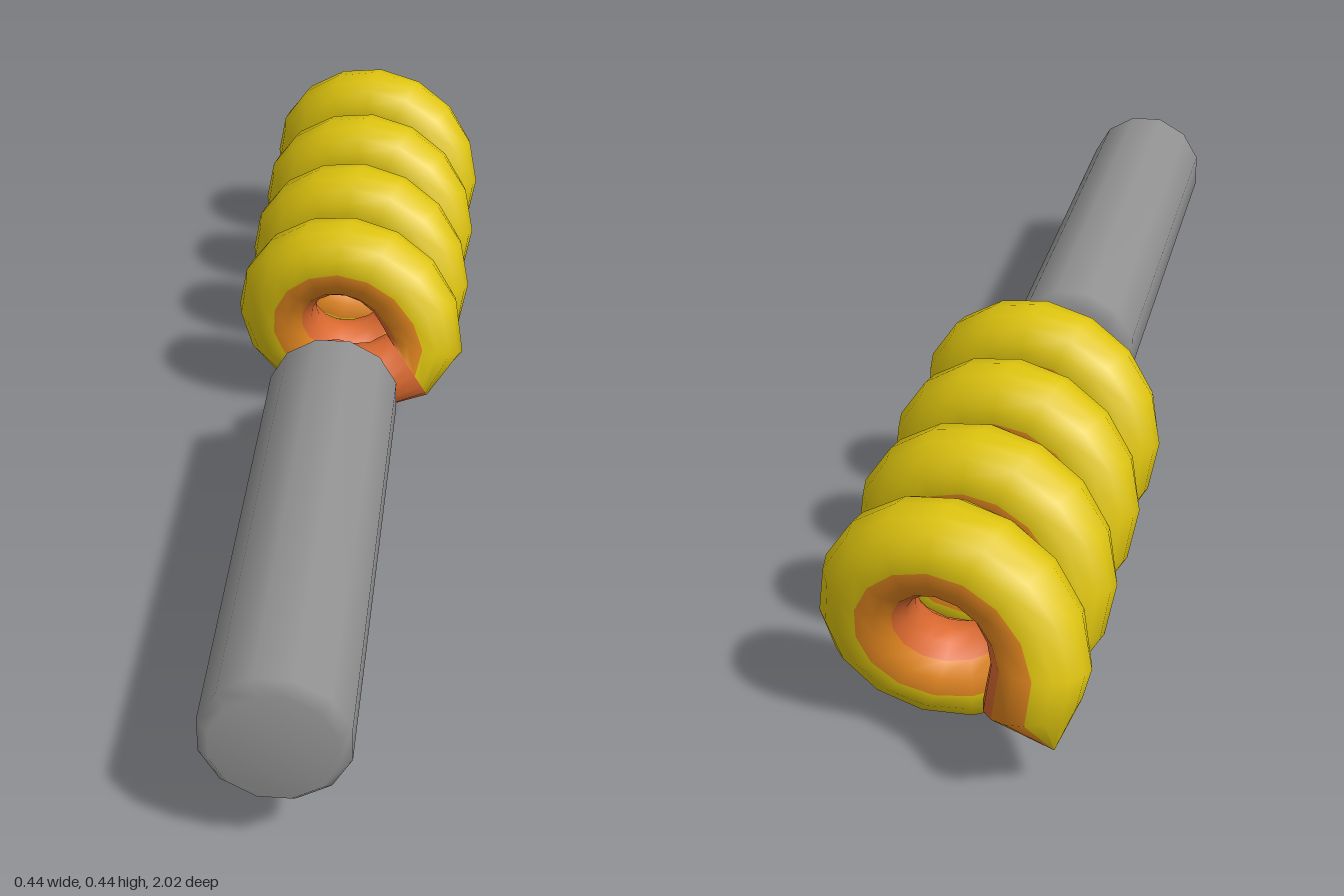
import * as THREE from 'three';

const CENTRE_Y = 0.225, COIL_R = 0.147, TUBE_R = 0.075, PITCH = 0.224;
const SIDES = 16, STEPS_PER_TURN = 16;

const V = (x, y, z) => new THREE.Vector3(x, y, z);
const mat = (name, color) => {
  const m = new THREE.MeshStandardMaterial({ color });
  m.name = name;
  return m;
};

// A cross-section: centre, radius and the direction facing the inside of the coil
function makeRings() {
  const rings = [
    { c: V(-0.01, 0.235, 0.06), r: 0.056, n: V(0, 1, 0) },
    { c: V(-0.01, 0.235, -0.02), r: 0.056, n: V(0, 1, 0) },
    { c: V(0.0, 0.185, -0.075), r: 0.06, n: V(0, 1, 0) },
    { c: V(0.055, 0.17, -0.105), r: 0.064, n: V(-0.1, 1, 0) },
    { c: V(0.115, 0.185, -0.125), r: 0.07, n: V(-0.6, 0.8, 0) },
  ];
  const neck = rings.length - 1;
  // Three and a half turns, plus one step
  const count = 3.5 * STEPS_PER_TURN + 1;
  for (let i = 0; i <= count; i++) {
    const t = (i / STEPS_PER_TURN) * Math.PI * 2;
    const n = V(-Math.cos(t), -Math.sin(t), 0);
    const c = n.clone().multiplyScalar(-COIL_R);
    c.y += CENTRE_Y;
    c.z = -0.145 - (PITCH * i) / STEPS_PER_TURN;
    rings.push({ c, r: TUBE_R, n });
  }
  // Pointed tip on the outer edge of the coil
  rings.push({ c: V(-0.168, 0.08, -0.942), r: 0.0005, n: V(0.75, 0.65, 0) });
  return { rings, neck };
}

// Smooth tube through the rings, coloured by how far each face turns from the inside
function coilGeometry() {
  const { rings, neck } = makeRings();
  const pos = [];
  const faces = [[], [], []]; // inner, middle, outer colour
  rings.forEach((ring, i) => {
    const a = rings[Math.max(i - 1, 0)].c;
    const b = rings[Math.min(i + 1, rings.length - 1)].c;
    const T = b.clone().sub(a).normalize();
    const N = ring.n.clone().addScaledVector(T, -ring.n.dot(T)).normalize();
    const B = T.clone().cross(N);
    for (let k = 0; k < SIDES; k++) {
      const ang = (k / SIDES) * Math.PI * 2;
      const p = ring.c.clone()
        .addScaledVector(N, Math.cos(ang) * ring.r)
        .addScaledVector(B, Math.sin(ang) * ring.r);
      pos.push(p.x, p.y, p.z);
    }
  });
  for (let i = 0; i < rings.length - 1; i++) {
    for (let k = 0; k < SIDES; k++) {
      const k2 = (k + 1) % SIDES;
      const a = i * SIDES + k, b = i * SIDES + k2;
      const turn = Math.cos(((k + 0.5) / SIDES) * Math.PI * 2);
      const colour = i < neck || turn > 0.707 ? 0 : turn > 0 ? 1 : 2;
      faces[colour].push(a, b, a + SIDES, b, b + SIDES, a + SIDES);
    }
  }
  const geo = new THREE.BufferGeometry();
  geo.setAttribute('position', new THREE.Float32BufferAttribute(pos, 3));
  geo.setIndex(faces.flat());
  let start = 0;
  faces.forEach((f, m) => {
    geo.addGroup(start, f.length, m);
    start += f.length;
  });
  geo.computeVertexNormals();
  return geo;
}

export function createModel() {
  const grey = mat('handleGrey', 0x929292);
  const copper = mat('redOrange', 0xdc6a30);
  const orange = mat('orange', 0xe2861f);
  const yellow = mat('yellow', 0xdfc50f);

  const group = new THREE.Group();
  group.name = 'coiledTool';

  // Twelve-sided handle with bevelled ends, running along z
  const profile = [
    [0, 0], [0.095, 0], [0.119, 0.02], [0.119, 0.94], [0.1, 0.96], [0, 0.96],
  ].map(([r, h]) => new THREE.Vector2(r, h));
  const handleGeo = new THREE.LatheGeometry(profile, 12);
  handleGeo.rotateY(Math.PI / 12);
  handleGeo.rotateX(Math.PI / 2);
  const handle = new THREE.Mesh(handleGeo, grey);
  handle.name = 'handle';
  handle.position.set(-0.008, 0.231, 0.04);
  group.add(handle);

  // Bent neck and coil in one continuous tube
  const coil = new THREE.Mesh(coilGeometry(), [copper, orange, yellow]);
  coil.name = 'neckAndCoil';
  group.add(coil);

  return group;
}
